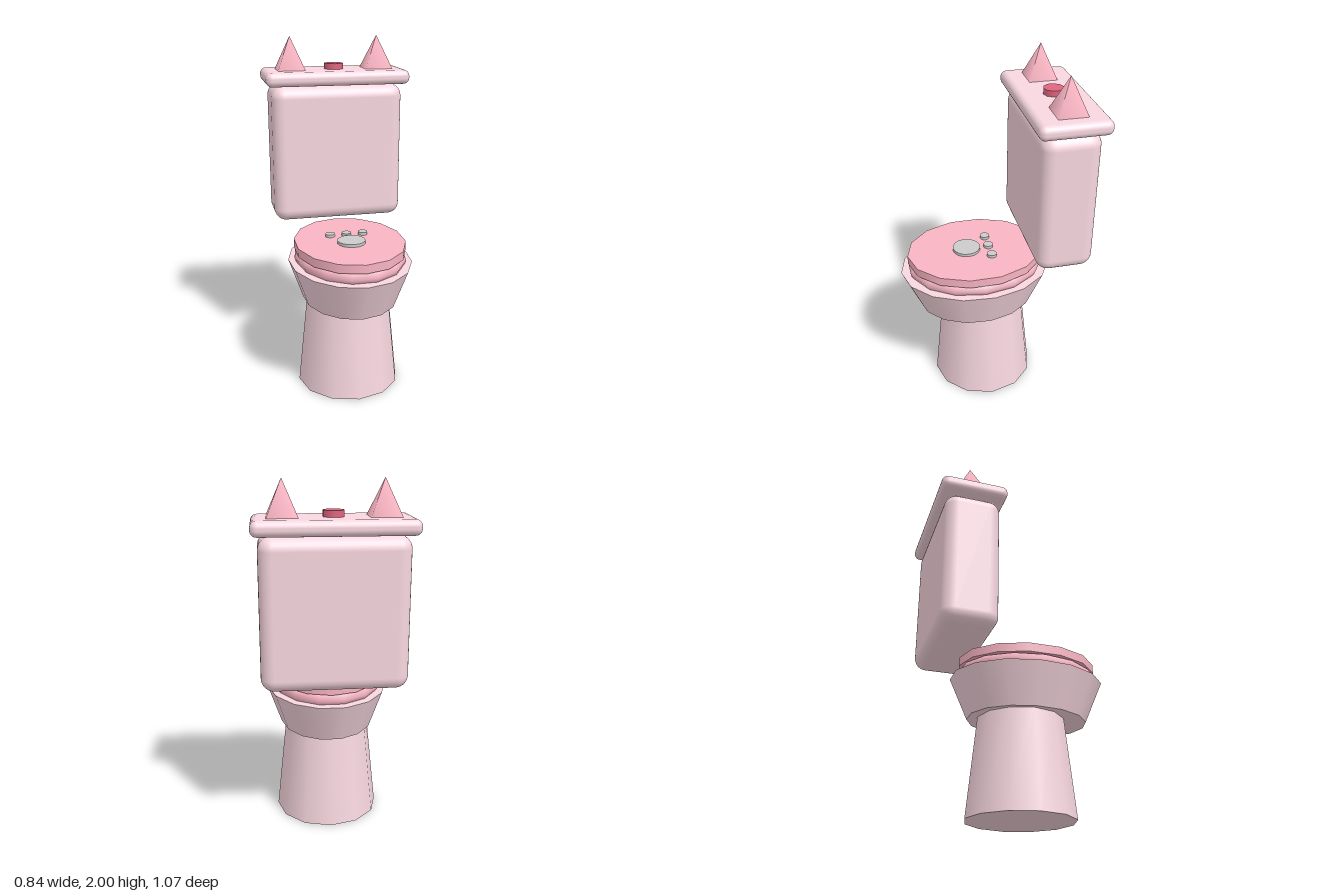
import * as THREE from 'three';
import { RoundedBoxGeometry } from 'three/addons/geometries/RoundedBoxGeometry.js';

const paint = (color) => new THREE.MeshStandardMaterial({ color });

export function createModel() {
  const model = new THREE.Group();
  model.name = 'toilet';
  const porcelain = paint(0xf8d7e0);
  const pink = paint(0xf8b4c2);
  const rose = paint(0xe0647f);
  const grey = paint(0xc4c4c4);

  const add = (name, geometry, material, x, y, z) => {
    const mesh = new THREE.Mesh(geometry, material);
    mesh.name = name;
    mesh.position.set(x, y, z);
    model.add(mesh);
    return mesh;
  };
  // Upright cylinder between two heights, stretched along z
  const drum = (name, material, rTop, rBottom, y0, y1, x, z, sides, stretch = 1) => {
    const geometry = new THREE.CylinderGeometry(rTop, rBottom, y1 - y0, sides);
    geometry.scale(1, 1, stretch);
    return add(name, geometry, material, x, (y0 + y1) / 2, z);
  };

  // Base and oval bowl
  drum('pedestal', porcelain, 0.245, 0.302, 0, 0.55, 0, 0.05, 12);
  drum('bowl', porcelain, 0.352, 0.272, 0.55, 0.78, 0, 0.09, 15, 1.25);

  // Seat ring and closed cover
  const ring = new THREE.TorusGeometry(0.28, 0.04, 8, 14);
  ring.rotateX(Math.PI / 2);
  ring.scale(1, 1, 1.25);
  add('seat', ring, pink, 0, 0.805, 0.09);
  drum('seatCover', pink, 0.317, 0.317, 0.84, 0.89, 0, 0.09, 14, 1.25);

  // Paw print on the cover
  drum('pawPad', grey, 0.08, 0.08, 0.89, 0.907, 0, 0.14, 16);
  for (const x of [-0.097, 0, 0.097]) {
    drum('pawToe', grey, 0.028, 0.028, 0.89, 0.907, x, 0.01, 12);
  }

  // Tank with its lid and flush button
  add('tank', new RoundedBoxGeometry(0.77, 0.8, 0.32, 4, 0.07), porcelain, 0, 1.327, -0.342);
  add('tankLid', new RoundedBoxGeometry(0.836, 0.08, 0.384, 3, 0.035), porcelain, 0, 1.77, -0.344);
  drum('flushButton', rose, 0.056, 0.056, 1.8, 1.843, 0, -0.344, 10);

  // Pyramid ears
  for (const side of [-1, 1]) {
    const ear = add(side > 0 ? 'leftEar' : 'rightEar',
      new THREE.ConeGeometry(0.113, 0.19, 4), pink, side * 0.258, 1.905, -0.344);
    ear.rotation.y = Math.PI / 4;
  }
  return model;
}
